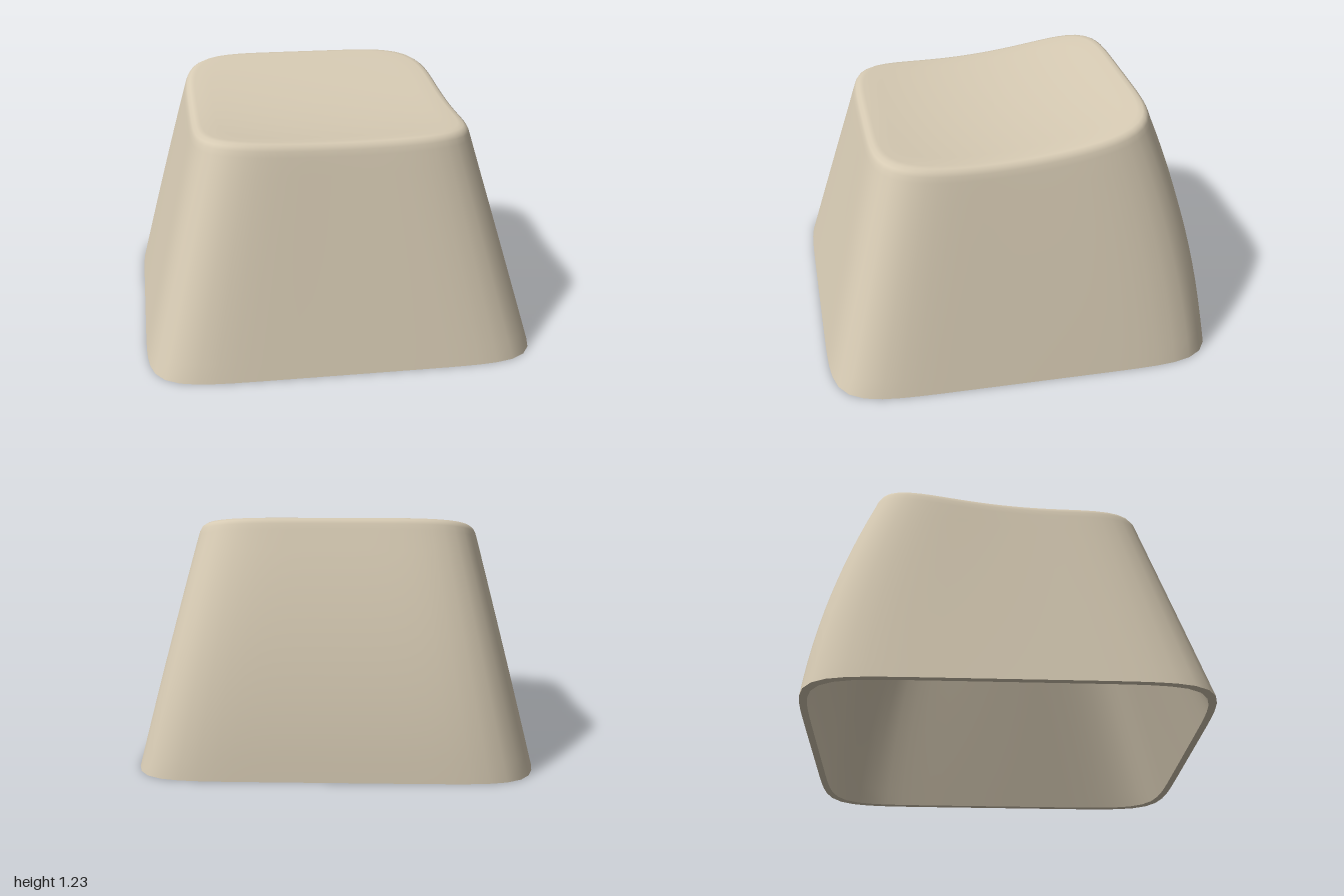
import * as THREE from 'three';

const SEG = 96;
const WALL = 0.035, ROOF = 0.06;

// Height of the scooped, back-rising top surface
const topY = (x, z) =>
  1.098 - 0.105 * z + 0.15 * z * z + 0.055 * x * x * Math.max(0, (z + 0.75) / 1.35);

// Point on a rounded square (superellipse) with half sizes hx, front hf and back hb
function outline(angle, hx, hf, hb, n) {
  const c = Math.cos(angle), s = Math.sin(angle);
  const r = Math.pow(Math.abs(c) ** n + Math.abs(s) ** n, -1 / n);
  return [r * c * hx, r * s * (s > 0 ? hf : hb)];
}

// Wall point at height fraction t: tapered sides, bowed back
function wallPoint(angle, t, inset, drop) {
  const bow = 0.18 * t * (1 - t);
  const [x, z] = outline(angle, 0.985 - 0.27 * t - inset, 1 - 0.28 * t - inset,
    1 - 0.28 * t + bow - inset, 7.8 - 2.4 * t);
  const [rx, rz] = outline(angle, 0.715, 0.72, 0.72, 5.4);
  return [x, t * (topY(rx, rz) - 0.07 - drop), z];
}

// Top point at half size h, sunk below the top surface
function topPoint(angle, h, sink, inset, drop) {
  const k = Math.max(0, h - inset * h / 0.72);
  const [x, z] = outline(angle, k * 0.994, k, k, 5.4);
  return [x, topY(x, z) - sink - drop, z];
}

// Skin a list of closed rings, each a function of the angle
function loft(rings, flip) {
  const pos = [], idx = [];
  for (const ring of rings)
    for (let j = 0; j < SEG; j++) pos.push(...ring(j / SEG * Math.PI * 2));
  for (let i = 0; i < rings.length - 1; i++) {
    for (let j = 0; j < SEG; j++) {
      const k = (j + 1) % SEG;
      const a = i * SEG + j, b = i * SEG + k, c = a + SEG, d = b + SEG;
      if (flip) idx.push(a, b, c, b, d, c);
      else idx.push(a, c, b, b, c, d);
    }
  }
  const g = new THREE.BufferGeometry();
  g.setAttribute('position', new THREE.Float32BufferAttribute(pos, 3));
  g.setIndex(idx);
  g.computeVertexNormals();
  return g;
}

// Tapered wall, rounded shoulder and dished top, as rings from the rim to the centre
function shellRings(inset, drop) {
  const rings = [];
  for (let i = 0; i < 12; i++) rings.push(a => wallPoint(a, i / 12, inset, drop));
  rings.push(a => wallPoint(a, 1, inset, drop));
  const shoulder = [[0.711, 0.04], [0.701, 0.02], [0.685, 0.007], [0.66, 0.001]];
  for (const [h, sink] of shoulder) rings.push(a => topPoint(a, h, sink, inset, drop));
  for (let i = 9; i >= 0; i--) rings.push(a => topPoint(a, 0.064 * i + 0.0005, 0, inset, drop));
  return rings;
}

export function createModel() {
  const group = new THREE.Group();
  group.name = 'keycap';
  const material = new THREE.MeshStandardMaterial({ color: 0xd6cab3 });
  const add = (name, geometry) => {
    const mesh = new THREE.Mesh(geometry, material);
    mesh.name = name;
    group.add(mesh);
  };

  add('outerShell', loft(shellRings(0, 0), false));
  add('innerShell', loft(shellRings(WALL, ROOF), true));
  // Flat bottom edge joining both skins
  add('bottomRim', loft([a => wallPoint(a, 0, WALL, 0), a => wallPoint(a, 0, 0, 0)], false));
  return group;
}
